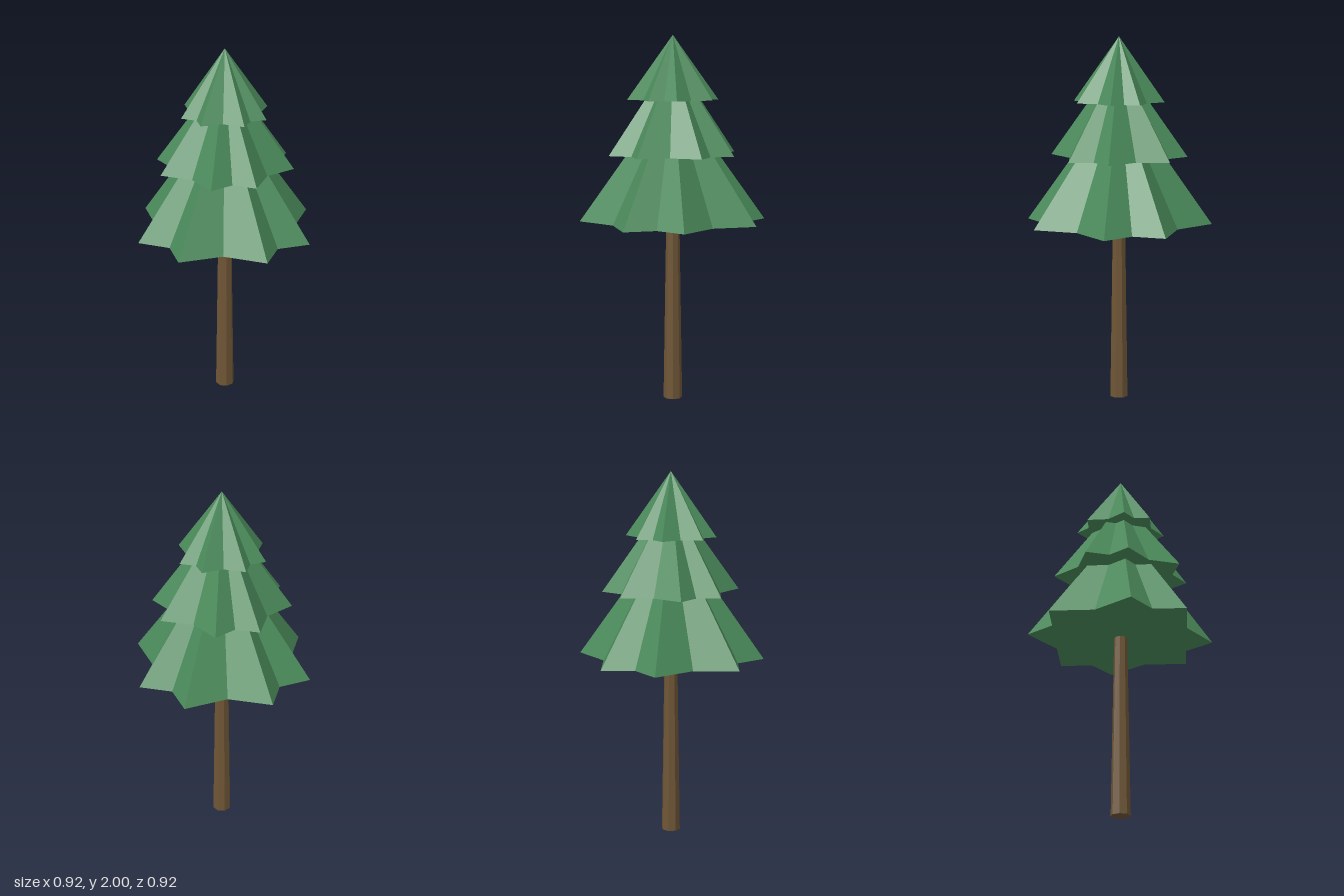
import * as THREE from 'three';

const leaf = new THREE.MeshStandardMaterial({ color: 0x4a8a5a, flatShading: true });
const bark = new THREE.MeshStandardMaterial({ color: 0x6f5636, flatShading: true });

// One quadrant of the star outline: [angle in degrees, relative radius]
const QUADRANT = [[0, 0.748], [26.7, 1], [45, 0.791], [63.3, 1]];

// Closed star-shaped cone of unit tip radius, standing on y = 0
function starCone(height) {
  const ring = [];
  for (let q = 0; q < 4; q++) {
    for (const [deg, r] of QUADRANT) {
      const a = THREE.MathUtils.degToRad(deg + q * 90);
      ring.push([r * Math.cos(a), 0, r * Math.sin(a)]);
    }
  }
  const positions = [];
  ring.forEach((p, i) => {
    const next = ring[(i + 1) % ring.length];
    positions.push(0, height, 0, ...next, ...p); // sloping side
    positions.push(0, 0, 0, ...p, ...next); // underside
  });
  const geometry = new THREE.BufferGeometry();
  geometry.setAttribute('position', new THREE.Float32BufferAttribute(positions, 3));
  geometry.computeVertexNormals();
  return geometry;
}

export function createModel() {
  const tree = new THREE.Group();
  tree.name = 'pineTree';

  // Slightly tapered trunk, reaching just inside the lowest tier
  const trunk = new THREE.Mesh(new THREE.CylinderGeometry(0.036, 0.052, 1.02, 8), bark);
  trunk.name = 'trunk';
  trunk.position.y = 0.51;
  trunk.rotation.y = 0.2;
  tree.add(trunk);

  // Three tiers of the same shape, shrinking and twisted: base height, tip radius, turn
  const cone = starCone(1.397);
  const tiers = [
    ['lowerFoliage', 1.0, 0.508, 1.9],
    ['middleFoliage', 1.363, 0.372, 38.1],
    ['upperFoliage', 1.655, 0.247, 3.5],
  ];
  for (const [name, y, radius, turn] of tiers) {
    const tier = new THREE.Mesh(cone, leaf);
    tier.name = name;
    tier.position.y = y;
    tier.scale.setScalar(radius);
    tier.rotation.y = -THREE.MathUtils.degToRad(turn);
    tree.add(tier);
  }
  return tree;
}
